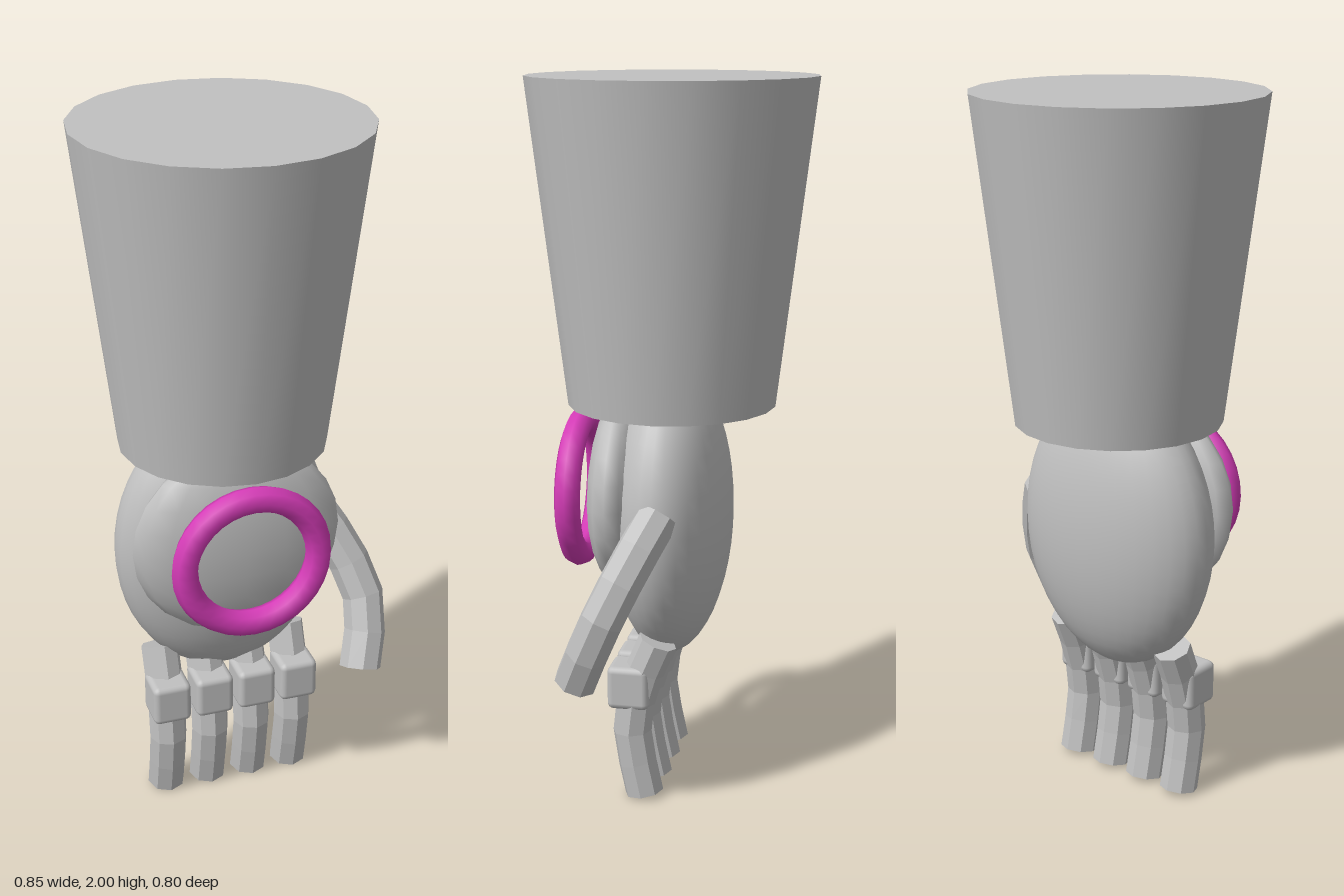
import * as THREE from 'three';
import { RoundedBoxGeometry } from 'three/addons/geometries/RoundedBoxGeometry.js';

const AXIS_X = -0.03; // centre line of the arm

// Faceted, capped tube along a smooth curve through [x, y, z] points
function limbGeometry(points, radius, segments, sides) {
  const curve = new THREE.CatmullRomCurve3(points.map((p) => new THREE.Vector3(...p)));
  const tube = new THREE.TubeGeometry(curve, segments, radius, sides, false);
  const index = Array.from(tube.index.array);
  const last = segments * (sides + 1);
  for (let j = 1; j < sides - 1; j++) {
    index.push(0, j, j + 1);
    index.push(last, last + j + 1, last + j);
  }
  tube.setIndex(index);
  const flat = tube.toNonIndexed();
  flat.computeVertexNormals();
  return flat;
}

export function createModel() {
  const grey = new THREE.MeshStandardMaterial({ color: 0xc0c0c0 });
  grey.name = 'light grey';
  const magenta = new THREE.MeshStandardMaterial({ color: 0xd63cb8 });
  magenta.name = 'magenta';

  const model = new THREE.Group();
  model.name = 'roboticArm';
  const add = (name, geometry, material, x = 0, y = 0, z = 0, parent = model) => {
    const mesh = new THREE.Mesh(geometry, material);
    mesh.name = name;
    mesh.position.set(x, y, z);
    parent.add(mesh);
    return mesh;
  };

  // Tapered forearm
  add('forearm', new THREE.CylinderGeometry(0.398, 0.29, 0.895, 20), grey, AXIS_X, 1.5525, 0);

  // Egg-shaped palm with a flattened dome on the back of the hand
  add('palm', new THREE.SphereGeometry(1, 32, 24), grey, AXIS_X, 0.79, 0).scale.set(0.315, 0.41, 0.17);
  add('handDome', new THREE.SphereGeometry(1, 16, 12), grey, AXIS_X, 0.855, 0.13).scale.set(0.3, 0.285, 0.095);

  // Coloured ring in front of the dome
  add('ring', new THREE.TorusGeometry(0.191, 0.037, 8, 32), magenta, AXIS_X, 0.85, 0.258);

  // Four curved fingers, each with a knuckle block
  const fingerGeometry = limbGeometry(
    [[0, 0.468, 0.003], [0, 0.35, 0.05], [0, 0.21, 0.077], [0, 0.013, 0.043]], 0.055, 5, 8);
  const knuckleGeometry = new RoundedBoxGeometry(0.112, 0.124, 0.118, 2, 0.018);
  for (let i = 0; i < 4; i++) {
    const finger = new THREE.Group();
    finger.name = 'finger' + (i + 1);
    finger.position.x = -0.224 + i * 0.1285;
    model.add(finger);
    add('fingerTube', fingerGeometry, grey, 0, 0, 0, finger);
    add('knuckle', knuckleGeometry, grey, 0, 0.337, 0.08, finger);
  }

  // Thumb bending outward and forward
  add('thumb', limbGeometry(
    [[0.235, 0.855, -0.015], [0.32, 0.71, 0.06], [0.363, 0.56, 0.13], [0.325, 0.395, 0.2]], 0.06, 5, 8), grey);

  return model;
}
